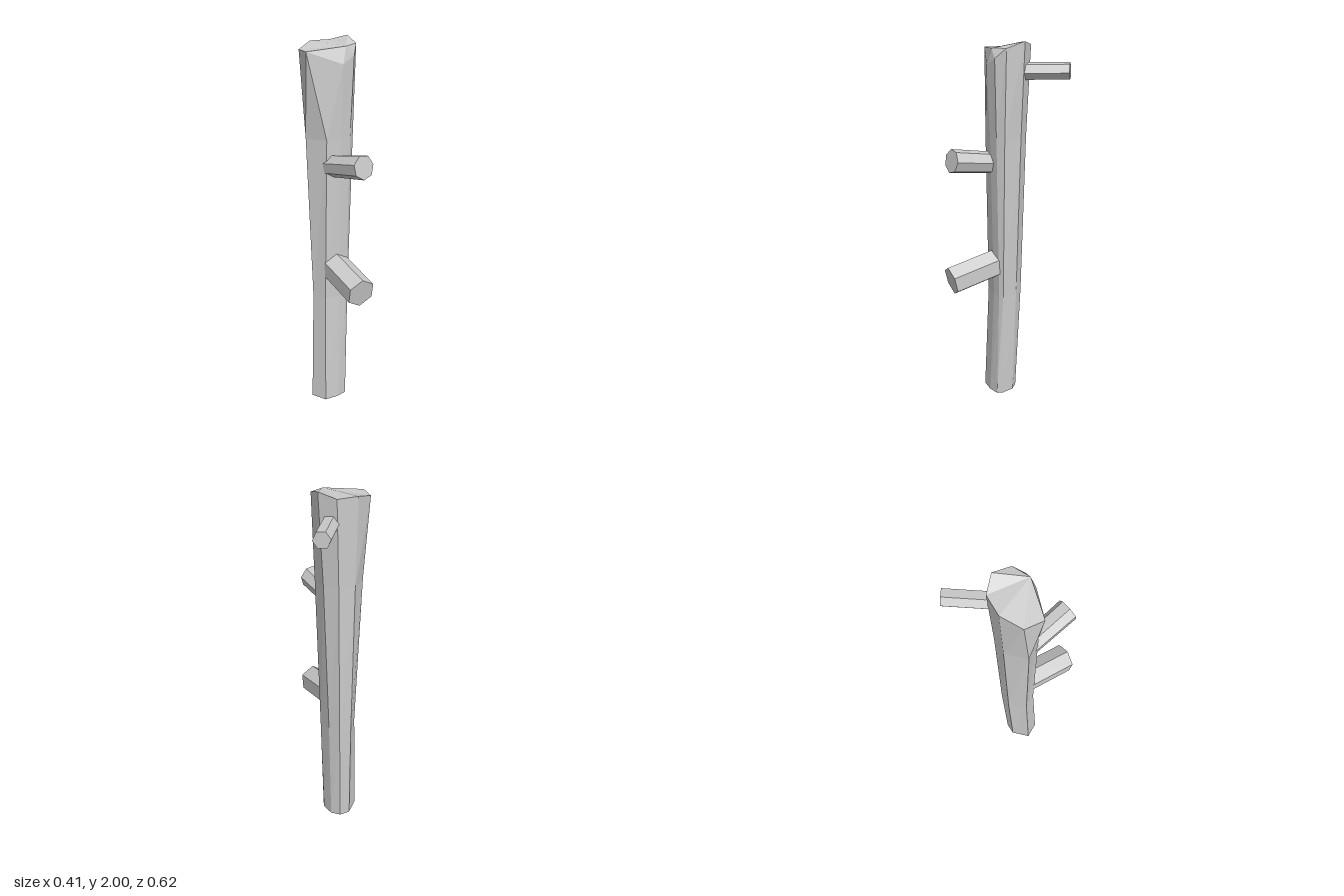
import * as THREE from 'three';

const material = new THREE.MeshStandardMaterial({ color: 0xcccccc, flatShading: true });

// Eight-sided trunk: cross-sections as [x, z] corners, clockwise from the back
const base = [[-0.10, -0.10], [-0.04, -0.10], [0.0, -0.06], [0.012, 0.01], [0.0, 0.04], [-0.06, 0.055], [-0.135, 0.05], [-0.175, -0.03]];
const waist = [[-0.09, -0.12], [-0.02, -0.12], [0.02, -0.07], [0.03, 0.015], [0.01, 0.03], [-0.04, 0.037], [-0.12, 0.03], [-0.155, -0.04]];
const upper = [[-0.09, -0.14], [0.0, -0.135], [0.055, -0.075], [0.057, 0.02], [0.022, 0.05], [-0.037, 0.057], [-0.115, 0.045], [-0.18, -0.055]];
const crown = [[-0.09, -0.155], [0.02, -0.148], [0.085, -0.078], [0.075, 0.02], [0.035, 0.065], [-0.035, 0.075], [-0.205, 0.003], [-0.19, -0.095]];
const crownHeights = [1.975, 1.975, 2.0, 1.97, 1.92, 1.88, 1.945, 1.945];

function trunkGeometry() {
  const level = (ring, y) => ring.map(([x, z], i) => [x, Array.isArray(y) ? y[i] : y, z]);
  const rings = [level(base, 0), level(waist, 0.62), level(upper, 1.5), level(crown, crownHeights)];
  const top = rings[rings.length - 1];
  const footCentre = [-0.08, 0, -0.02];
  const chipPoint = [-0.01, 1.965, 0.06]; // upper corner of the chipped front edge
  const points = [];
  const n = base.length;
  for (let i = 0; i < n; i++) {
    const j = (i + 1) % n;
    for (let k = 0; k < rings.length - 1; k++) {
      const lo = rings[k], hi = rings[k + 1];
      points.push(lo[j], lo[i], hi[i], lo[j], hi[i], hi[j]);
    }
    points.push(chipPoint, top[j], top[i]);
    points.push(footCentre, rings[0][i], rings[0][j]);
  }
  const geometry = new THREE.BufferGeometry();
  geometry.setAttribute('position', new THREE.Float32BufferAttribute(points.flat(), 3));
  geometry.computeVertexNormals();
  return geometry;
}

// Cut branch stub running from inside the trunk to its sawn tip
function branch(name, from, to, rootRadius, tipRadius, sides) {
  const a = new THREE.Vector3(...from), b = new THREE.Vector3(...to);
  const axis = b.clone().sub(a);
  const mesh = new THREE.Mesh(new THREE.CylinderGeometry(tipRadius, rootRadius, axis.length(), sides), material);
  mesh.quaternion.setFromUnitVectors(new THREE.Vector3(0, 1, 0), axis.normalize());
  mesh.position.copy(a).add(b).multiplyScalar(0.5);
  mesh.name = name;
  return mesh;
}

export function createModel() {
  const group = new THREE.Group();
  group.name = 'woodenPost';
  const trunk = new THREE.Mesh(trunkGeometry(), material);
  trunk.name = 'trunk';
  group.add(
    trunk,
    branch('lowerBranch', [-0.052, 0.8, -0.01], [-0.058, 0.735, 0.285], 0.08, 0.08, 6),
    branch('middleBranch', [-0.075, 1.355, 0.0], [-0.042, 1.405, 0.275], 0.058, 0.063, 7),
    branch('upperBranch', [0.02, 1.845, -0.09], [0.17, 1.853, -0.29], 0.045, 0.045, 6),
  );
  return group;
}
